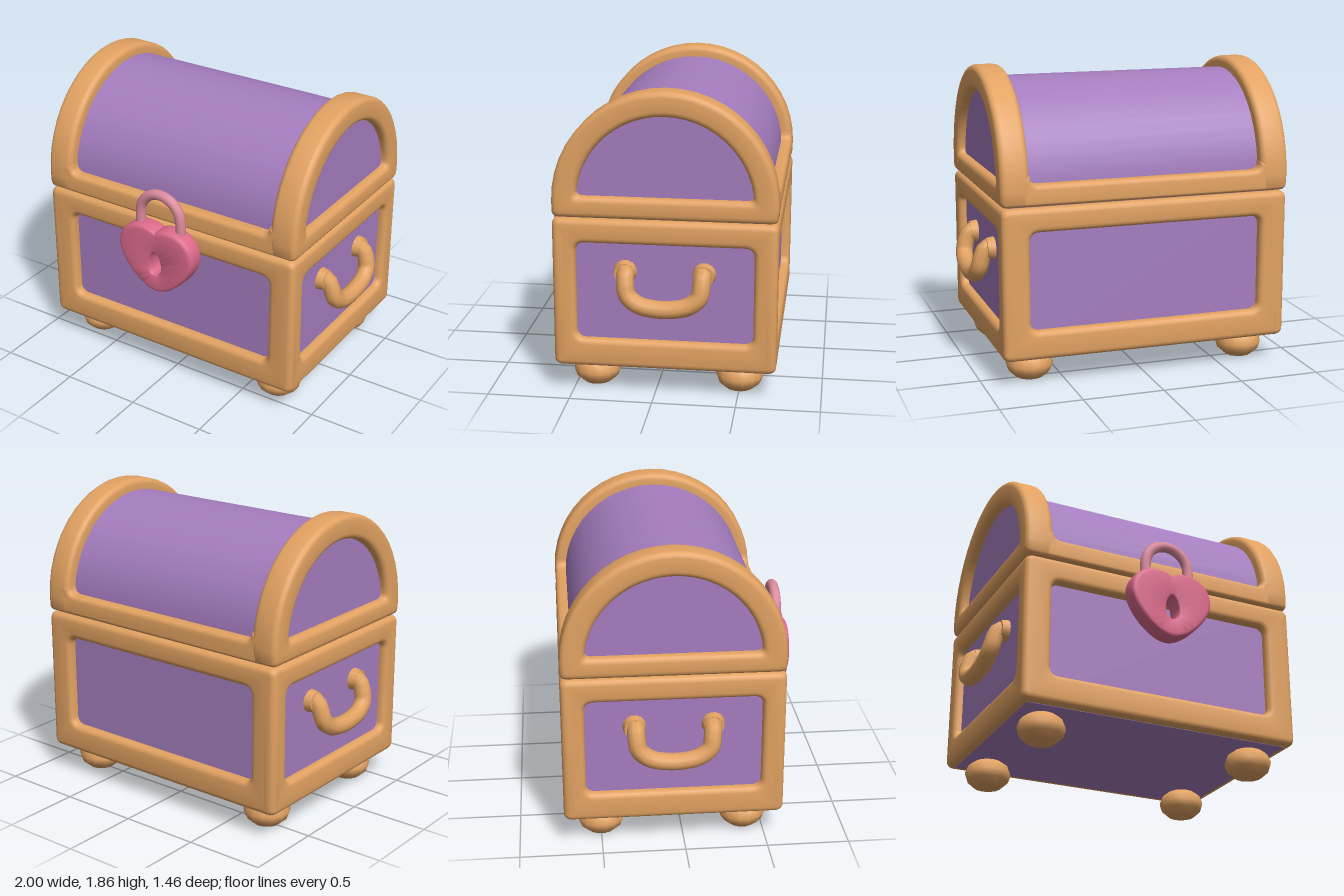
import * as THREE from 'three';
import { toCreasedNormals } from 'three/addons/utils/BufferGeometryUtils.js';

const HALF_W = 0.905, HALF_D = 0.668, CENTER_Z = -0.06, ARCH_Y = 1.194;

const material = (name, color) => {
  const m = new THREE.MeshStandardMaterial({ color });
  m.name = name;
  return m;
};

// Rounded rectangle outline, counter-clockwise
function rectOutline(halfW, y0, y1, r) {
  const pts = [];
  const corners = [[halfW - r, y0 + r], [halfW - r, y1 - r], [r - halfW, y1 - r], [r - halfW, y0 + r]];
  corners.forEach(([x, y], c) => {
    for (let i = 0; i <= 5; i++) {
      const a = (c - 1 + i / 5) * Math.PI / 2;
      pts.push(new THREE.Vector2(x + r * Math.cos(a), y + r * Math.sin(a)));
    }
  });
  return pts;
}

// Half-round outline with a flat base and softened base corners, counter-clockwise
function archOutline(base, centerY, radius, corner) {
  const a0 = Math.asin(Math.max(0, base + corner - centerY) / radius);
  const baseX = Math.sqrt(radius ** 2 - Math.max(0, base - centerY) ** 2);
  const bend = new THREE.QuadraticBezierCurve(
    new THREE.Vector2(baseX - corner, base), new THREE.Vector2(baseX, base),
    new THREE.Vector2(radius * Math.cos(a0), base + corner)).getPoints(4).slice(0, 4);
  const pts = [...bend];
  for (let i = 0; i <= 24; i++) {
    const a = a0 + (Math.PI - 2 * a0) * i / 24;
    pts.push(new THREE.Vector2(radius * Math.cos(a), centerY + radius * Math.sin(a)));
  }
  return [...pts, ...bend.reverse().map((p) => new THREE.Vector2(-p.x, p.y))];
}

// Closed frame lofted between an outer and an inner outline, with round edges.
// outer(inset) shrinks and inner(inset) widens; both give equally many points.
function frameLoft(outer, inner, depth, bevel) {
  const profile = [];
  for (const [start, z] of [[-1, bevel], [0, depth - bevel]]) {
    for (let i = 0; i <= 4; i++) {
      const a = (start + i / 4) * Math.PI / 2;
      profile.push([bevel * (1 - Math.cos(a)), z + bevel * Math.sin(a)]);
    }
  }
  const rings = [
    ...profile.map(([inset, z]) => [outer(inset), z]),
    ...profile.slice().reverse().map(([inset, z]) => [inner(inset), z]),
  ];
  const n = rings[0][0].length, position = [], index = [];
  rings.forEach(([pts, z], k) => {
    const next = ((k + 1) % rings.length) * n;
    pts.forEach((p, i) => {
      const j = (i + 1) % n;
      position.push(p.x, p.y, z);
      index.push(k * n + i, k * n + j, next + j, k * n + i, next + j, next + i);
    });
  });
  const g = new THREE.BufferGeometry();
  g.setAttribute('position', new THREE.Float32BufferAttribute(position, 3));
  g.setIndex(index);
  return toCreasedNormals(g, 0.65);
}

export function createModel() {
  const wood = material('wood', 0xe2a262);
  const purple = material('purple panel', 0xa57dbf);
  const pink = material('lock pink', 0xdc6a8b);
  const palePink = material('shackle pink', 0xdc8b9d);

  const model = new THREE.Group();
  model.name = 'treasureChest';
  const chest = new THREE.Group();
  chest.name = 'chest';
  chest.position.z = CENTER_Z;
  model.add(chest);

  const add = (parent, name, geometry, mat) => {
    const mesh = new THREE.Mesh(geometry, mat);
    mesh.name = name;
    parent.add(mesh);
    return mesh;
  };
  // Place a frame so its outer face lies on one side of the chest
  const addSide = (name, geometry, angle, distance, depth) => {
    const mesh = add(chest, name, geometry, wood);
    mesh.rotation.y = angle;
    mesh.position.set(Math.sin(angle), 0, Math.cos(angle)).multiplyScalar(distance - depth);
  };

  // Body: recessed panels are the faces of an inner box
  const core = new THREE.BoxGeometry(1.7, 0.942, 1.22);
  core.translate(0, 0.639, 0);
  add(chest, 'bodyPanels', core, purple);

  // Body frames on all four sides
  const bodyFrame = (half, holeHalf) => frameLoft(
    (d) => rectOutline(half - d, 0.17 + d, 1.092 - d, 0.045 - d),
    (d) => rectOutline(holeHalf + d, 0.345 - d, 0.945 + d, 0.05 + d), 0.1, 0.035);
  const longFrame = bodyFrame(0.9, 0.73);
  const shortFrame = bodyFrame(HALF_D, 0.53);
  addSide('frontBodyFrame', longFrame, 0, HALF_D, 0.1);
  addSide('backBodyFrame', longFrame, Math.PI, HALF_D, 0.1);
  addSide('leftBodyFrame', shortFrame, Math.PI / 2, 0.9, 0.1);
  addSide('rightBodyFrame', shortFrame, -Math.PI / 2, 0.9, 0.1);

  // Lid barrel
  const barrel = new THREE.ExtrudeGeometry(
    new THREE.Shape(archOutline(1.105, ARCH_Y, 0.597, 0.005)),
    { depth: 1.7, bevelEnabled: false });
  barrel.translate(0, 0, -0.85);
  barrel.rotateY(Math.PI / 2);
  add(chest, 'lidBarrel', toCreasedNormals(barrel, 0.5), purple);

  // Arched lid ends
  const lidArch = frameLoft(
    (d) => archOutline(1.1 + d, ARCH_Y, HALF_D - d, 0.04),
    (d) => archOutline(1.228 - d, 1.188, 0.525 + d, 0.04), 0.175, 0.035);
  addSide('leftLidArch', lidArch, Math.PI / 2, HALF_W, 0.175);
  addSide('rightLidArch', lidArch, -Math.PI / 2, HALF_W, 0.175);

  // Lid rails with filleted corners against the arches
  const rail = new THREE.Shape();
  rail.moveTo(-0.82, 1.1);
  rail.lineTo(0.82, 1.1);
  rail.lineTo(0.8, 1.28);
  rail.lineTo(0.725, 1.28);
  rail.quadraticCurveTo(0.725, 1.23, 0.67, 1.23);
  rail.lineTo(-0.67, 1.23);
  rail.quadraticCurveTo(-0.725, 1.23, -0.725, 1.28);
  rail.lineTo(-0.8, 1.28);
  const railGeometry = toCreasedNormals(new THREE.ExtrudeGeometry(rail, {
    depth: 0.04, bevelThickness: 0.03, bevelSize: 0.03, bevelOffset: -0.03,
    bevelSegments: 4, curveSegments: 6,
  }).translate(0, 0, 0.03), 0.65);
  addSide('frontLidRail', railGeometry, 0, 0.665, 0.1);
  addSide('backLidRail', railGeometry, Math.PI, 0.665, 0.1);

  // Bun feet
  const footProfile = [[0, 0], [0.085, 0.005], [0.13, 0.045], [0.145, 0.09],
    [0.125, 0.14], [0.07, 0.18], [0, 0.185]].map(([x, y]) => new THREE.Vector2(x, y));
  const foot = new THREE.LatheGeometry(footProfile, 14);
  for (const x of [-0.69, 0.69]) {
    for (const z of [-0.44, 0.44]) {
      add(chest, 'foot', foot, wood).position.set(x, 0, z);
    }
  }

  // Drooping side handles with round mounts
  const half = [[0.84, 0.775, 0.228], [0.895, 0.77, 0.228], [0.922, 0.72, 0.226],
    [0.938, 0.65, 0.212], [0.945, 0.598, 0.15], [0.946, 0.575, 0.05]];
  const path = [...half, ...half.slice().reverse().map(([x, y, z]) => [x, y, -z])]
    .map((p) => new THREE.Vector3(...p));
  const grip = new THREE.TubeGeometry(new THREE.CatmullRomCurve3(path), 36, 0.054, 10);
  const mount = new THREE.CylinderGeometry(0.062, 0.073, 0.06, 14);
  mount.rotateZ(-Math.PI / 2);
  for (const side of [1, -1]) {
    const handle = new THREE.Group();
    handle.name = side > 0 ? 'leftHandle' : 'rightHandle';
    handle.rotation.y = side > 0 ? 0 : Math.PI;
    add(handle, 'grip', grip, wood);
    for (const z of [-0.235, 0.235]) {
      add(handle, 'mount', mount, wood).position.set(0.868, 0.77, z);
    }
    chest.add(handle);
  }

  // Heart-shaped padlock with a keyhole through it
  const lock = new THREE.Group();
  lock.name = 'padlock';
  const heart = new THREE.Path();
  heart.moveTo(0, 1.085);
  heart.bezierCurveTo(-0.07, 1.14, -0.268, 1.12, -0.268, 0.95);
  heart.bezierCurveTo(-0.268, 0.84, -0.11, 0.672, 0, 0.672);
  heart.bezierCurveTo(0.11, 0.672, 0.268, 0.84, 0.268, 0.95);
  heart.bezierCurveTo(0.268, 1.12, 0.07, 1.14, 0, 1.085);
  const keyhole = new THREE.Path();
  keyhole.moveTo(0, 0.945);
  keyhole.bezierCurveTo(-0.04, 0.945, -0.072, 0.795, 0, 0.795);
  keyhole.bezierCurveTo(0.072, 0.795, 0.04, 0.945, 0, 0.945);
  const scaled = (curve, y, s) => curve.getSpacedPoints(56).slice(0, -1)
    .map((p) => new THREE.Vector2(p.x * s, y + (p.y - y) * s));
  const lockBody = frameLoft(
    (d) => scaled(heart, 0.89, 1 - d / 0.23),
    (d) => scaled(keyhole, 0.865, 1 + d / 0.12), 0.125, 0.025);
  add(lock, 'lockBody', lockBody, pink).position.z = 0.608;

  // Shackle
  const hoop = [new THREE.Vector3(-0.145, 1.05, 0.657)];
  for (let i = 0; i <= 8; i++) {
    const a = Math.PI * (1 - i / 8);
    hoop.push(new THREE.Vector3(0.145 * Math.cos(a), 1.168 + 0.145 * Math.sin(a), 0.657));
  }
  hoop.push(new THREE.Vector3(0.145, 1.05, 0.657));
  add(lock, 'shackle', new THREE.TubeGeometry(new THREE.CatmullRomCurve3(hoop), 32, 0.033, 10), palePink);
  model.add(lock);

  return model;
}
